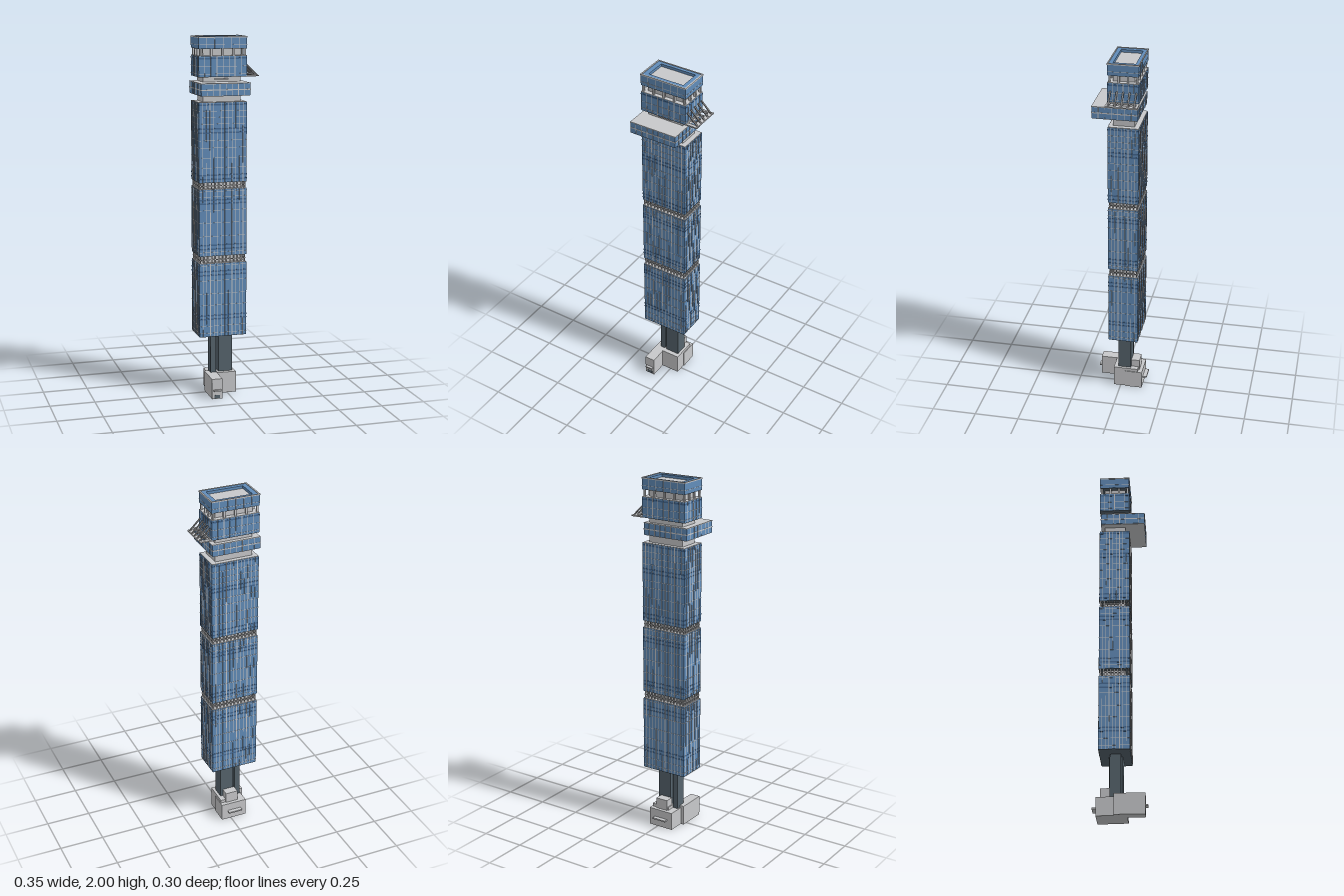
import * as THREE from 'three';

const mat = (name, color) => Object.assign(new THREE.MeshStandardMaterial({ color }), { name });

export function createModel() {
  const model = new THREE.Group();
  model.name = 'tower';
  const glass = mat('blue glass', 0x628dba);
  const band = mat('dark glass band', 0x456a94);
  const light = mat('light concrete', 0xc8c9cb);
  const slate = mat('dark slate', 0x56646d);
  const strutGrey = mat('strut grey', 0x9a9b9d);

  // Box given by its limits
  const box = (name, m, [x0, x1], [y0, y1], [z0, z1], parent = model) => {
    const mesh = new THREE.Mesh(new THREE.BoxGeometry(x1 - x0, y1 - y0, z1 - z0), m);
    mesh.position.set((x0 + x1) / 2, (y0 + y1) / 2, (z0 + z1) / 2);
    mesh.name = name;
    parent.add(mesh);
    return mesh;
  };
  const grow = ([a, b], d) => [a - d, b + d];

  // Flat rectangular frame with a rectangular hole
  const frame = (name, m, X, Z, hx, hz, [y0, y1], parent = model) => {
    const rect = (p, [x0, x1], [z0, z1]) => {
      p.moveTo(x0, -z1);
      p.lineTo(x1, -z1);
      p.lineTo(x1, -z0);
      p.lineTo(x0, -z0);
      p.closePath();
      return p;
    };
    const shape = rect(new THREE.Shape(), X, Z);
    shape.holes.push(rect(new THREE.Path(), hx, hz));
    const g = new THREE.ExtrudeGeometry(shape, { depth: y1 - y0, bevelEnabled: false });
    g.rotateX(-Math.PI / 2).translate(0, y0, 0);
    const mesh = new THREE.Mesh(g, m);
    mesh.name = name;
    parent.add(mesh);
  };

  // Mullions and bands wrapped round a block; each runs through to the opposite face
  const grid = (X, Y, Z, rows, bands, nx, nz, parent) => {
    for (const y of bands) box('darkBand', band, grow(X, 0.0008), [y - 0.004, y + 0.004], grow(Z, 0.0008), parent);
    for (const y of rows) box('rail', light, grow(X, 0.0012), [y - 0.001, y + 0.001], grow(Z, 0.0012), parent);
    for (let i = 1; i < nx; i++) {
      const x = X[0] + (X[1] - X[0]) * i / nx, w = i % 3 ? 0.001 : 0.0022;
      box('mullion', light, [x - w, x + w], Y, grow(Z, 0.0018), parent);
    }
    for (let i = 1; i < nz; i++) {
      const z = Z[0] + (Z[1] - Z[0]) * i / nz, w = i % 3 ? 0.001 : 0.0022;
      box('mullion', light, grow(X, 0.0018), Y, [z - w, z + w], parent);
    }
  };

  // Row of small posts round a rectangle
  const posts = (X, Y, Z, nx, nz, r, parent) => {
    const post = (x, z) => box('post', light, [x - r, x + r], Y, [z - r, z + r], parent);
    for (let i = 0; i <= nx; i++) for (const z of Z) post(X[0] + (X[1] - X[0]) * i / nx, z);
    for (let i = 1; i < nz; i++) for (const x of X) post(x, Z[0] + (Z[1] - Z[0]) * i / nz);
  };

  const TX = [-0.164, 0.106], TZ = [-0.108, 0.059];
  const CX = [-0.135, 0.077], CZ = [-0.082, 0.035];

  // Base blocks with thin entrance shelves
  const base = new THREE.Group();
  base.name = 'base';
  model.add(base);
  box('frontWing', light, [-0.114, -0.055], [0, 0.115], [-0.03, 0.135], base);
  box('middleBlock', light, [-0.055, 0.052], [0, 0.12], [-0.1, 0.04], base);
  box('backBlock', light, [-0.094, 0.056], [0, 0.102], [-0.125, -0.026], base);
  box('upperBlock', light, [-0.05, 0.022], [0.1, 0.163], [-0.106, -0.055], base);
  box('backShelf', light, [-0.062, 0.02], [0.048, 0.056], [-0.148, -0.12], base);
  box('frontShelf', light, [-0.105, -0.064], [0.046, 0.054], [0.13, 0.149], base);
  box('doorPanel', slate, [-0.102, -0.068], [0.004, 0.022], [0.13, 0.136], base);

  // Stilts carrying the tower
  box('mainColumn', slate, [-0.043, 0.037], [0.1, 0.345], [-0.058, 0.015]);
  box('sideColumn', slate, [-0.087, -0.055], [0.1, 0.345], [-0.052, 0.008]);

  // Three glazed sections
  const sections = [
    { y: [0.34, 0.755], rows: [0.36, 0.4, 0.52, 0.585, 0.66, 0.745], bands: [0.44, 0.46, 0.69, 0.712] },
    { y: [0.8, 1.17], rows: [0.82, 0.91, 0.985, 1.055, 1.13, 1.16], bands: [0.838, 0.86, 1.092, 1.112] },
    { y: [1.21, 1.645], rows: [1.29, 1.345, 1.4, 1.44, 1.53, 1.565, 1.6], bands: [1.227, 1.25, 1.482, 1.503, 1.634] },
  ];
  for (const s of sections) {
    const group = new THREE.Group();
    group.name = 'towerSection';
    model.add(group);
    box('glazing', glass, TX, s.y, TZ, group);
    box('underside', slate, grow(TX, -0.001), [s.y[0] - 0.002, s.y[0]], grow(TZ, -0.001), group);
    box('roofPlate', light, grow(TX, -0.001), [s.y[1], s.y[1] + 0.003], grow(TZ, -0.001), group);
    grid(TX, s.y, TZ, s.rows, s.bands, 13, 9, group);
  }

  // Open floors between the sections
  for (const [y0, y1] of [[0.755, 0.8], [1.17, 1.21]]) {
    const floor = new THREE.Group();
    floor.name = 'openFloor';
    model.add(floor);
    box('core', light, CX, [y0, y1], CZ, floor);
    posts(grow(TX, -0.008), [y0, y1], grow(TZ, -0.008), 12, 8, 0.003, floor);
    const y = (y0 + y1) / 2;
    frame('railing', light, grow(TX, -0.004), grow(TZ, -0.004), grow(TX, -0.008), grow(TZ, -0.008), [y - 0.002, y + 0.002], floor);
  }

  // Neck and overhanging deck
  box('neck', light, CX, [1.645, 1.79], CZ);
  const deck = new THREE.Group();
  deck.name = 'deck';
  model.add(deck);
  const DX = [-0.174, 0.1], DZ = [-0.102, 0.146];
  box('deckGlazing', glass, DX, [1.69, 1.752], DZ, deck);
  box('deckRoof', light, grow(DX, 0.001), [1.752, 1.756], grow(DZ, 0.001), deck);
  box('deckFloor', light, grow(DX, -0.002), [1.687, 1.69], grow(DZ, -0.002), deck);
  box('deckRail', light, grow(DX, 0.001), [1.718, 1.724], grow(DZ, 0.001), deck);
  grid(DX, [1.69, 1.752], DZ, [], [], 8, 7, deck);
  box('deckSill', light, [-0.07, 0.005], [1.768, 1.774], [0.03, 0.045], deck);

  // Upper glazed block
  const upper = new THREE.Group();
  upper.name = 'upperBlockGlazed';
  model.add(upper);
  box('glazing', glass, TX, [1.785, 1.894], TZ, upper);
  box('underside', slate, grow(TX, -0.001), [1.783, 1.785], grow(TZ, -0.001), upper);
  box('roofPlate', light, TX, [1.894, 1.897], TZ, upper);
  grid(TX, [1.785, 1.894], TZ, [1.8, 1.84], [1.883], 8, 6, upper);

  // Open gallery below the crown
  box('galleryCore', light, CX, [1.896, 1.936], CZ);
  posts(grow(TX, -0.01), [1.896, 1.936], grow(TZ, -0.01), 4, 3, 0.005, model);

  // Crown with a sunken roof
  const crown = new THREE.Group();
  crown.name = 'crown';
  model.add(crown);
  const RX = [-0.132, 0.076], RZ = [-0.086, 0.033];
  frame('parapet', glass, TX, TZ, RX, RZ, [1.936, 1.997], crown);
  frame('parapetRim', light, grow(TX, 0.002), grow(TZ, 0.002), grow(TX, -0.006), grow(TZ, -0.004), [1.993, 2], crown);
  box('roofFloor', light, RX, [1.938, 1.982], RZ, crown);
  box('underside', slate, grow(TX, -0.001), [1.934, 1.936], grow(TZ, -0.001), crown);
  const RAILS = [[1.955, 1.957]];
  for (const r of RAILS) frame('rail', light, grow(TX, 0.0012), grow(TZ, 0.0012), TX, TZ, r, crown);
  for (let i = 1; i < 6; i++) {
    const x = TX[0] + (TX[1] - TX[0]) * i / 6;
    for (const z of TZ) box('mullion', light, [x - 0.0012, x + 0.0012], [1.936, 1.995], [z - 0.0015, z + 0.0015], crown);
  }

  // Side canopy: flat open frame hung from sloping struts
  const canopy = new THREE.Group();
  canopy.name = 'canopy';
  model.add(canopy);
  frame('canopyFrame', light, [0.104, 0.173], [-0.112, 0.06], [0.112, 0.15], [-0.1, 0.048], [1.783, 1.79], canopy);
  const dx = 0.062, dy = -0.062;
  for (let i = 0; i < 5; i++) {
    const z = -0.095 + i * 0.0345;
    const strut = box('strut', strutGrey, [0, Math.hypot(dx, dy)], [-0.003, 0.003], [-0.004, 0.004], canopy);
    strut.position.set(0.107 + dx / 2, 1.85 + dy / 2, z);
    strut.rotation.z = Math.atan2(dy, dx);
    box('tie', strutGrey, [0.106, 0.152], [1.783, 1.789], [z - 0.004, z + 0.004], canopy);
  }
  return model;
}
